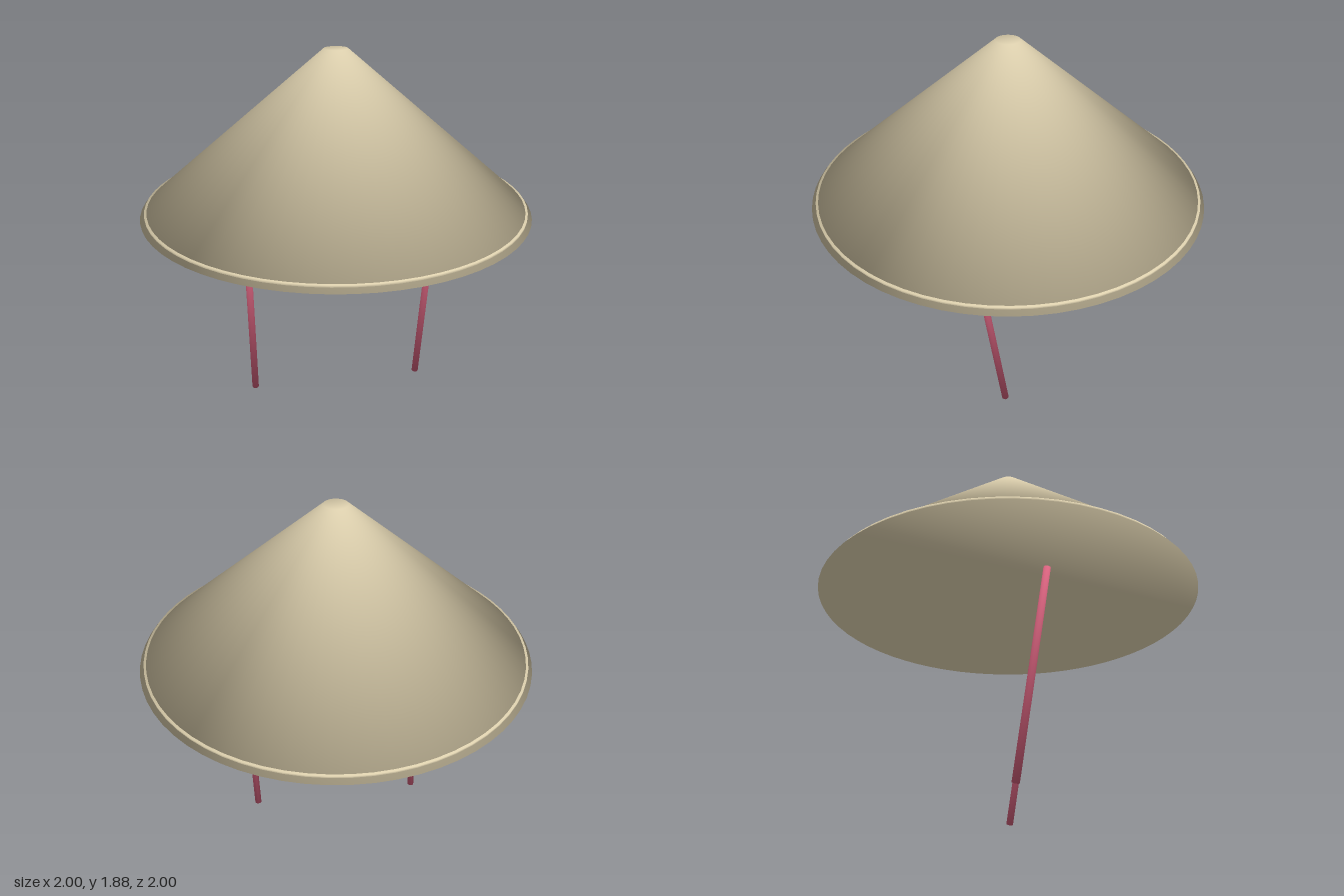
import * as THREE from 'three';

const straw = new THREE.MeshStandardMaterial({ color: 0xdccfad });
straw.name = 'straw';
const pink = new THREE.MeshStandardMaterial({ color: 0xd8627e });
pink.name = 'pink strap';

// Closed frustum whose normals blend smoothly from the wall into both flat ends
function softFrustum(rBottom, rTop, height, segments) {
  const positions = [], normals = [], index = [];
  const wall = new THREE.Vector2(height, rBottom - rTop).normalize();
  for (const [radius, y, end] of [[rBottom, -height / 2, -1], [rTop, height / 2, 1]]) {
    const n = new THREE.Vector2(wall.x, wall.y + end).normalize();
    for (let i = 0; i < segments; i++) {
      const a = (i / segments) * Math.PI * 2, s = Math.sin(a), c = Math.cos(a);
      positions.push(radius * s, y, radius * c);
      normals.push(n.x * s, n.y, n.x * c);
    }
  }
  // Wall
  for (let i = 0; i < segments; i++) {
    const j = (i + 1) % segments;
    index.push(i, j, segments + j, i, segments + j, segments + i);
  }
  // Flat ends, fanned from the first corner of each ring
  for (let i = 1; i < segments - 1; i++) {
    index.push(0, i + 1, i, segments, segments + i, segments + i + 1);
  }
  const geometry = new THREE.BufferGeometry();
  geometry.setAttribute('position', new THREE.Float32BufferAttribute(positions, 3));
  geometry.setAttribute('normal', new THREE.Float32BufferAttribute(normals, 3));
  geometry.setIndex(index);
  return geometry;
}

// Upright round part between two heights
function round(name, rBottom, rTop, y0, y1) {
  const mesh = new THREE.Mesh(softFrustum(rBottom, rTop, y1 - y0, 64), straw);
  mesh.position.y = (y0 + y1) / 2;
  mesh.name = name;
  return mesh;
}

// Thin rod between two points
function rod(name, from, to, radius) {
  const axis = to.clone().sub(from);
  const mesh = new THREE.Mesh(softFrustum(radius, radius, axis.length(), 12), pink);
  mesh.position.copy(from).add(to).multiplyScalar(0.5);
  mesh.quaternion.setFromUnitVectors(new THREE.Vector3(0, 1, 0), axis.normalize());
  mesh.name = name;
  return mesh;
}

export function createModel() {
  const model = new THREE.Group();
  model.name = 'conicalHat';

  // Solid cone with a blunt tip, and a thin band that just breaks its surface near the edge
  model.add(round('crown', 1, 0.06, 1.075, 1.88));
  model.add(round('rimBand', 0.978, 0.978, 1.08, 1.104));

  // Chin straps, leaning back towards the bottom
  for (const [name, s] of [['leftStrap', 1], ['rightStrap', -1]]) {
    model.add(rod(name, new THREE.Vector3(s * 0.466, 0.003, 0.02), new THREE.Vector3(s * 0.484, 1.043, 0.175), 0.018));
  }
  return model;
}
